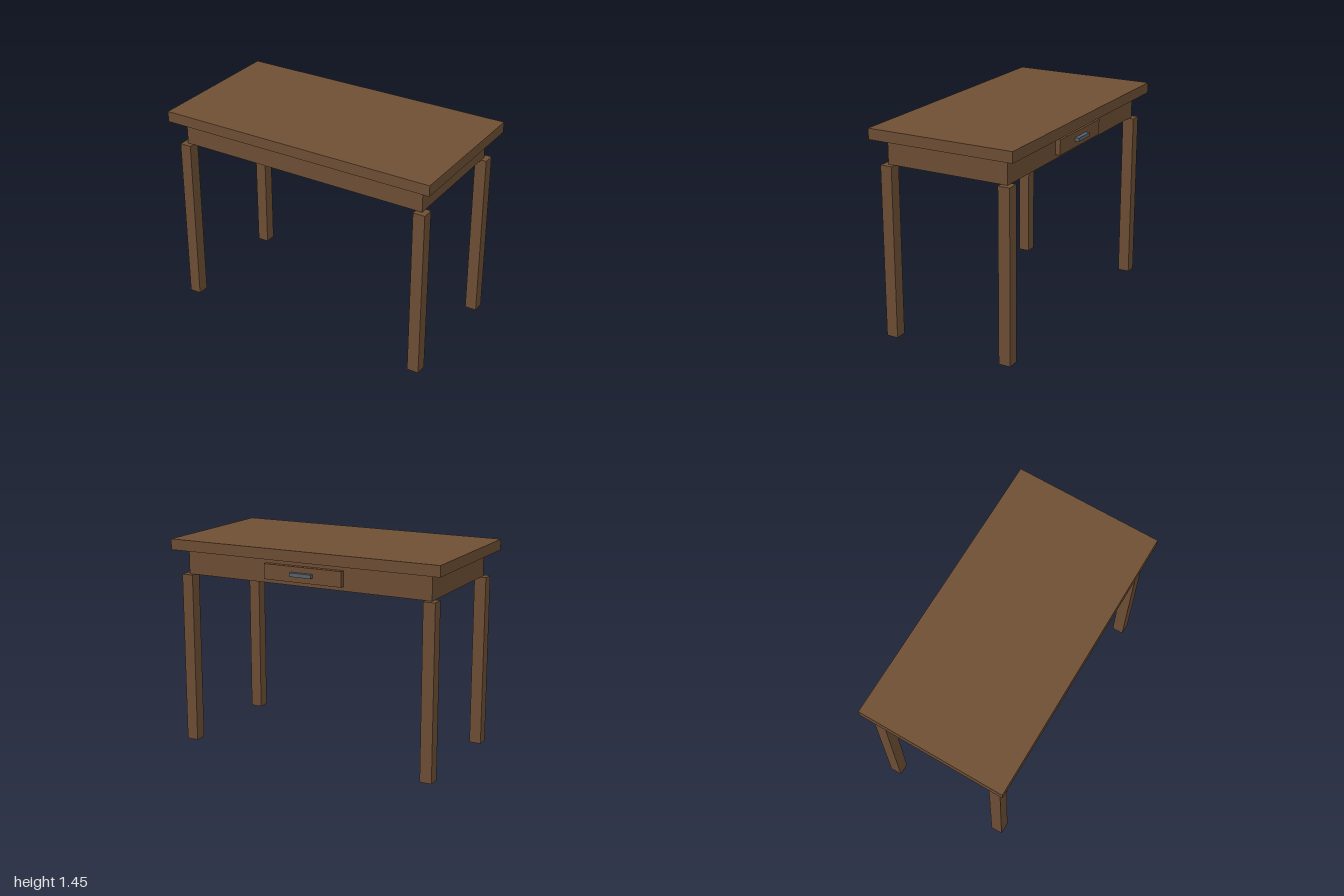
import * as THREE from 'three';

export function createModel() {
  const wood = new THREE.MeshStandardMaterial({ color: 0x6f4f35 });
  wood.name = 'brown wood';
  const metal = new THREE.MeshStandardMaterial({ color: 0x59636e });
  metal.name = 'grey metal';

  const table = new THREE.Group();
  table.name = 'table';

  // Box placed by its centre in x and z and by its underside in y
  function addBox(name, material, [w, h, d], [x, bottom, z]) {
    const mesh = new THREE.Mesh(new THREE.BoxGeometry(w, h, d), material);
    mesh.name = name;
    mesh.position.set(x, bottom + h / 2, z);
    table.add(mesh);
  }

  addBox('tabletop', wood, [2, 0.075, 1.05], [0, 1.375, 0]);
  addBox('apron', wood, [1.825, 0.175, 0.88], [0, 1.2, 0]);

  // Four square legs, set slightly outside the apron corners
  for (const [side, sx] of [['Left', 1], ['Right', -1]]) {
    for (const [end, sz] of [['front', 1], ['back', -1]]) {
      addBox(`${end}${side}Leg`, wood, [0.083, 1.2, 0.083], [sx * 0.9085, 0, sz * 0.434]);
    }
  }

  // Drawer and pull on the back
  addBox('drawerFront', wood, [0.58, 0.105, 0.038], [0, 1.23, -0.456]);
  addBox('drawerHandle', metal, [0.16, 0.026, 0.03], [0, 1.271, -0.489]);

  return table;
}
